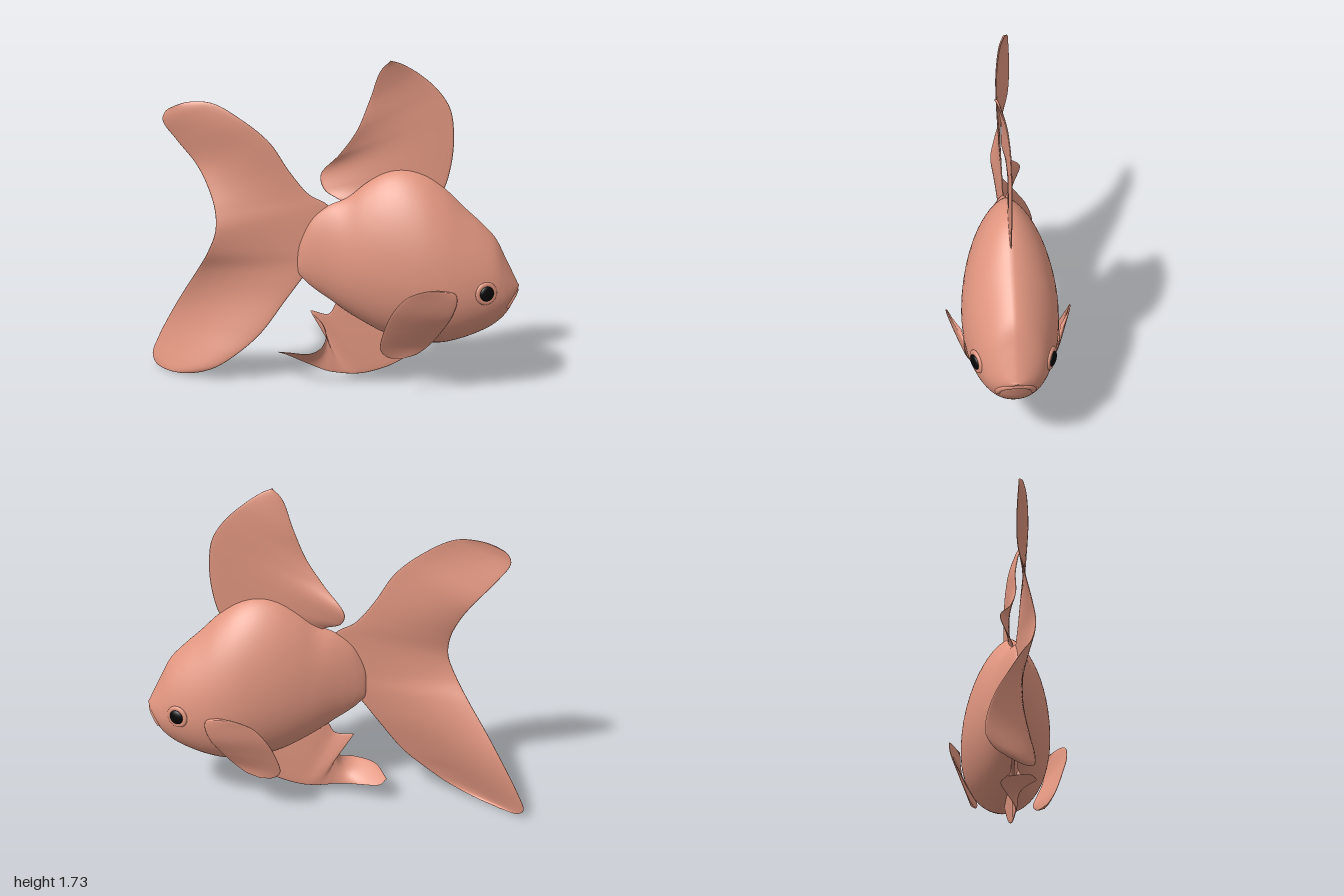
import * as THREE from 'three';

const skin = new THREE.MeshStandardMaterial({ color: 0xe0957f, side: THREE.DoubleSide });
skin.name = 'salmon skin';
const black = new THREE.MeshStandardMaterial({ color: 0x060606 });
black.name = 'eye black';

const spline = (pts) => new THREE.CatmullRomCurve3(pts.map(([x, y, z = 0]) => new THREE.Vector3(x, y, z)));

// Joins a list of closed rings of points into one smooth surface
function loft(rings) {
  const n = rings[0].length;
  const index = [];
  for (let i = 0; i < rings.length - 1; i++) {
    for (let j = 0; j < n; j++) {
      const a = i * n + j, b = i * n + (j + 1) % n;
      index.push(a, a + n, b, b, a + n, b + n);
    }
  }
  const geo = new THREE.BufferGeometry().setFromPoints(rings.flat());
  geo.setIndex(index);
  geo.computeVertexNormals();
  return geo;
}

// Body profile: x, top, bottom, half width
const profile = [
  [-0.16, 0.67, 0.67, 0], [-0.155, 0.75, 0.605, 0.012], [-0.13, 0.82, 0.575, 0.028], [-0.08, 0.905, 0.53, 0.052],
  [0, 0.97, 0.475, 0.088], [0.1, 1.015, 0.405, 0.135], [0.2, 1.095, 0.345, 0.176], [0.3, 1.15, 0.295, 0.208],
  [0.4, 1.165, 0.265, 0.23], [0.5, 1.14, 0.25, 0.242], [0.6, 1.075, 0.25, 0.24], [0.7, 0.98, 0.275, 0.224],
  [0.8, 0.89, 0.315, 0.193], [0.87, 0.815, 0.355, 0.162], [0.92, 0.72, 0.4, 0.129], [0.955, 0.65, 0.45, 0.094],
  [0.98, 0.6, 0.51, 0.057], [0.995, 0.57, 0.555, 0.02], [1, 0.565, 0.565, 0],
];
const topLine = spline(profile.map(([x, t]) => [x, t]));
const bottomLine = spline(profile.map(([x, , b, w]) => [x, b, w]));

function section(t) {
  const top = topLine.getPoint(t), low = bottomLine.getPoint(t);
  const centre = low.y + 0.42 * (top.y - low.y);
  return { x: top.x, centre, up: top.y - centre, down: centre - low.y, w: Math.max(low.z, 0) };
}

// Half width of a section at height y, or -1 outside it
function widthAt(s, y) {
  const d = (y - s.centre) / (y > s.centre ? s.up : s.down);
  if (!(Math.abs(d) < 1)) return -1;
  return s.w * Math.sqrt(1 - d * d) ** (d > 0 ? 1.3 : 1);
}

// Foremost x of the body at a given height and side offset
function faceX(y, z) {
  for (let t = 1; t > 0.5; t -= 0.001) {
    const s = section(t);
    if (widthAt(s, y) >= Math.abs(z)) return s.x;
  }
  return 0.9;
}

function bodyGeometry() {
  const rings = [];
  for (let i = 0; i <= 90; i++) {
    const s = section(i / 90);
    const ring = [];
    for (let j = 0; j < 56; j++) {
      const a = (j / 56) * Math.PI * 2, c = Math.cos(a), sn = Math.sin(a);
      const z = s.w * Math.sign(sn) * Math.abs(sn) ** (c > 0 ? 1.3 : 1);
      ring.push(new THREE.Vector3(s.x, s.centre + c * (c > 0 ? s.up : s.down), z));
    }
    rings.push(ring);
  }
  return loft(rings);
}

// Thin fin stretched between two matching edge lines; bend > 1 keeps the sideways curl near the second edge
function finGeometry(edgeA, edgeB, bend = 1, thick = 0.007) {
  const A = spline(edgeA), B = spline(edgeB), NU = 96, NV = 20;
  const rings = [];
  for (let i = 0; i <= NU; i++) {
    const a = A.getPoint(i / NU), b = B.getPoint(i / NU);
    const ring = [];
    for (let j = 0; j < NV * 2; j++) {
      const angle = (Math.PI * j) / NV;
      const v = (1 - Math.cos(angle)) / 2;
      const p = a.clone().lerp(b, v);
      p.z = a.z + (b.z - a.z) * v ** bend;
      p.z += thick * Math.sign(Math.sin(angle)) * Math.abs(Math.sin(angle)) ** 0.6;
      ring.push(p);
    }
    rings.push(ring);
  }
  return loft(rings);
}

export function createModel() {
  const group = new THREE.Group();
  const add = (name, geo, mat = skin) => {
    const mesh = new THREE.Mesh(geo, mat);
    mesh.name = name;
    group.add(mesh);
    return mesh;
  };

  add('body', bodyGeometry());

  // Tail: leading edge and trailing edge, both from upper tip to lower tip
  add('tailFin', finGeometry(
    [[-0.8, 1.477, -0.065], [-0.73, 1.498, -0.05], [-0.6, 1.497, -0.02], [-0.45, 1.42, 0.005], [-0.3, 1.3, 0.01],
      [-0.2, 1.15, 0.003], [-0.1, 1.03], [0.01, 0.96], [0.0, 0.72], [-0.1, 0.62], [-0.22, 0.46, 0.005],
      [-0.36, 0.27, 0.025], [-0.5, 0.145, 0.03], [-0.62, 0.065, 0.01], [-0.76, 0.015, -0.05], [-0.88, 0.002, -0.13]],
    [[-0.8, 1.477, -0.065], [-0.855, 1.445, -0.08], [-0.873, 1.395, -0.085], [-0.8, 1.29, -0.085], [-0.7, 1.17, -0.07],
      [-0.635, 1.06, -0.03], [-0.592, 0.94, 0.01], [-0.588, 0.83, 0.03], [-0.635, 0.71, 0.01], [-0.7, 0.6, -0.05],
      [-0.79, 0.46, -0.12], [-0.88, 0.31, -0.19], [-0.96, 0.16, -0.235], [-0.998, 0.06, -0.243],
      [-0.97, 0.012, -0.205], [-0.88, 0.002, -0.13]], 1.6));

  // Dorsal fin: front edge and rear edge, root to tip
  add('dorsalFin', finGeometry(
    [[0.54, 0.98], [0.6, 1.07], [0.635, 1.2], [0.645, 1.34], [0.625, 1.48], [0.56, 1.58, 0.002], [0.46, 1.665, 0.014],
      [0.37, 1.717, 0.04], [0.32, 1.732, 0.055]],
    [[0.15, 0.95], [0.06, 1.0, -0.01], [-0.025, 1.045, -0.06], [-0.045, 1.115, -0.09], [0.06, 1.24, -0.02],
      [0.15, 1.37, 0.015], [0.215, 1.53, 0.02], [0.27, 1.68, 0.045], [0.32, 1.732, 0.055]], 3));

  // Belly fin: lower edge, then the spiky upper and rear edge
  add('bellyFin', finGeometry(
    [[0.52, 0.24], [0.42, 0.16], [0.34, 0.11], [0.25, 0.075], [0.18, 0.058], [0.12, 0.054], [0.06, 0.057],
      [0, 0.065], [-0.07, 0.08, -0.025], [-0.15, 0.097, -0.065], [-0.24, 0.12, -0.1], [-0.273, 0.14, -0.07]],
    [[0.52, 0.3], [0.4, 0.35], [0.2, 0.42], [0.06, 0.46], [0.005, 0.385], [-0.095, 0.39, -0.03], [-0.03, 0.33],
      [-0.008, 0.27, 0.01], [-0.03, 0.212, 0.05], [-0.085, 0.19, 0.09], [-0.21, 0.176, 0.04], [-0.273, 0.14, -0.07]]));

  for (const [side, s] of [['left', -1], ['right', 1]]) {
    // Side fins flare away from the body toward the rear
    const fin = add(side + 'SideFin', finGeometry(
      [[0.61, 0.592, 0.25], [0.52, 0.602, 0.295], [0.42, 0.57, 0.315], [0.35, 0.49, 0.312], [0.305, 0.38, 0.28],
        [0.288, 0.27, 0.24], [0.33, 0.22, 0.21], [0.4, 0.212, 0.19]],
      [[0.61, 0.592, 0.25], [0.665, 0.575, 0.238], [0.675, 0.535, 0.235], [0.65, 0.45, 0.222], [0.6, 0.36, 0.186],
        [0.54, 0.275, 0.153], [0.47, 0.225, 0.165], [0.4, 0.212, 0.19]]));
    fin.scale.z = s;

    // Eye: black dome inside a soft skin rim
    const eye = new THREE.Group();
    eye.name = side + 'Eye';
    const dome = new THREE.Mesh(new THREE.SphereGeometry(0.039, 28, 18), black);
    dome.name = 'pupil';
    dome.scale.z = 0.38;
    dome.position.z = 0.008;
    const rim = new THREE.Mesh(new THREE.TorusGeometry(0.046, 0.014, 12, 36), skin);
    rim.name = 'eyeRim';
    rim.scale.z = 0.7;
    eye.add(dome, rim);
    eye.position.set(0.822, 0.566, 0.182 * s);
    eye.rotation.y = s > 0 ? 0.44 : Math.PI - 0.44;
    group.add(eye);
  }

  // Downturned lip following the front of the face
  const lip = [];
  for (let i = 0; i <= 16; i++) {
    const a = (i / 16) * Math.PI;
    const z = 0.085 * Math.cos(a), y = 0.468 + 0.074 * Math.sin(a);
    lip.push(new THREE.Vector3(faceX(y, z) - 0.01, y, z));
  }
  add('upperLip', new THREE.TubeGeometry(new THREE.CatmullRomCurve3(lip), 48, 0.016, 12));

  return group;
}
